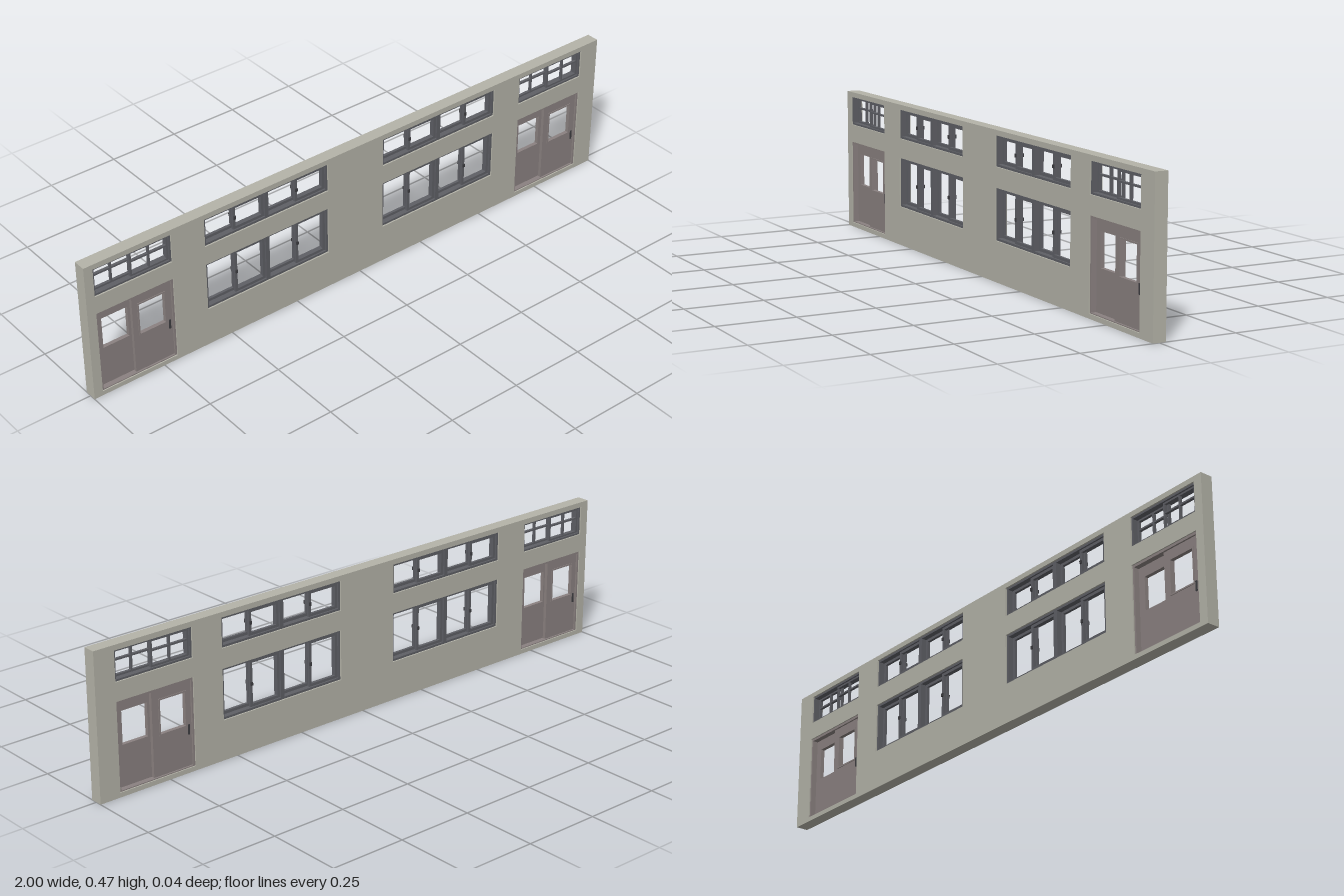
import * as THREE from 'three';

const mat = (name, color) => Object.assign(new THREE.MeshStandardMaterial({ color }), { name });

// Rectangular outline [x0, y0, x1, y1] as a shape or a hole
function rect(Type, [x0, y0, x1, y1]) {
  const p = new Type();
  p.moveTo(x0, y0);
  p.lineTo(x1, y0);
  p.lineTo(x1, y1);
  p.lineTo(x0, y1);
  p.closePath();
  return p;
}

// Flat panel with rectangular holes, centred on depth z
function panel(name, material, outer, holes, depth, z = 0) {
  const shape = rect(THREE.Shape, outer);
  holes.forEach((h) => shape.holes.push(rect(THREE.Path, h)));
  const geo = new THREE.ExtrudeGeometry(shape, { depth, bevelEnabled: false });
  geo.translate(0, 0, z - depth / 2);
  const mesh = new THREE.Mesh(geo, material);
  mesh.name = name;
  return mesh;
}

function box(name, material, w, h, d, x, y, z) {
  const mesh = new THREE.Mesh(new THREE.BoxGeometry(w, h, d), material);
  mesh.name = name;
  mesh.position.set(x, y, z);
  return mesh;
}

const inset = ([x0, y0, x1, y1], t) => [x0 + t, y0 + t, x1 - t, y1 - t];

export function createModel() {
  const model = new THREE.Group();
  model.name = 'classroomWall';
  const wallMat = mat('wall plaster', 0xb4b3a8);
  const frameMat = mat('window frame', 0x5e5f65);
  const doorMat = mat('door paint', 0x8a8180);
  const darkMat = mat('dark fittings', 0x3c3c40);

  const windowX = [[-0.585, -0.125], [0.09, 0.55]];
  const doorX = [[-0.97, -0.702], [0.657, 0.93]];
  const upperY = [0.36, 0.457], lowerY = [0.13, 0.295], doorY = [0.015, 0.3];
  const opening = ([x0, x1], [y0, y1]) => [x0, y0, x1, y1];

  // Wall with all its openings
  const holes = [];
  windowX.forEach((x) => holes.push(opening(x, upperY), opening(x, lowerY)));
  doorX.forEach((x) => holes.push(opening(x, upperY), opening(x, doorY)));
  model.add(panel('wall', wallMat, [-1, 0, 1, 0.474], holes, 0.042));

  // Two sliding pairs side by side in one opening
  function slidingWindow(r) {
    const g = new THREE.Group();
    g.name = 'slidingWindow';
    const [x0, y0, x1, y1] = r;
    const mid = (x0 + x1) / 2;
    for (const half of [[x0, y0, mid, y1], [mid, y0, x1, y1]]) {
      const inner = inset(half, 0.007);
      g.add(panel('windowFrame', frameMat, half, [inner], 0.032));
      const c = (half[0] + half[2]) / 2;
      const back = [inner[0], inner[1], c + 0.005, inner[3]];
      const front = [c - 0.005, inner[1], inner[2], inner[3]];
      g.add(panel('rearSash', frameMat, back, [inset(back, 0.009)], 0.009, -0.006));
      g.add(panel('frontSash', frameMat, front, [inset(front, 0.009)], 0.009, 0.006));
      // Latches on the meeting stiles
      for (const s of [-1, 1]) {
        g.add(box('latch', darkMat, 0.007, 0.011, 0.004, c, (y0 + y1) / 2, s * 0.0125));
      }
    }
    return g;
  }

  // Barred light above each doorway
  function transom(r) {
    const g = new THREE.Group();
    g.name = 'transom';
    const inner = inset(r, 0.006);
    g.add(panel('transomFrame', frameMat, r, [inner], 0.032));
    const [x0, y0, x1, y1] = inner;
    const c = (x0 + x1) / 2;
    const sashes = [[x0, y0, c + 0.005, y1, -0.006], [c - 0.005, y0, x1, y1, 0.006]];
    for (const [a, b, e, f, z] of sashes) {
      const [p0, q0, p1, q1] = inset([a, b, e, f], 0.006);
      const pm = (p0 + p1) / 2, qm = 0.417, t = 0.0028;
      const panes = [];
      for (const [u0, u1] of [[p0, pm - t], [pm + t, p1]]) {
        for (const [v0, v1] of [[q0, qm - t], [qm + t, q1]]) panes.push([u0, v0, u1, v1]);
      }
      g.add(panel('barredSash', frameMat, [a, b, e, f], panes, 0.009, z));
    }
    return g;
  }

  // Pair of overlapping sliding door leaves
  function slidingDoors(r) {
    const g = new THREE.Group();
    g.name = 'slidingDoors';
    const [x0, y0, x1, y1] = r;
    const c = (x0 + x1) / 2 - 0.005;
    g.add(panel('doorFrame', doorMat, r, [[x0 + 0.006, y0 + 0.003, x1 - 0.006, y1 - 0.008]], 0.034));
    const leaves = [
      { name: 'rearLeaf', a: x0 + 0.004, b: c + 0.014, w: x0 + 0.027, s: -1 },
      { name: 'frontLeaf', a: c - 0.004, b: x1 - 0.004, w: x1 - 0.12, s: 1 },
    ];
    for (const { name, a, b, w, s } of leaves) {
      const pane = [w, 0.15, w + 0.09, 0.257];
      g.add(panel(name, doorMat, [a, y0 + 0.002, b, y1 - 0.006], [pane], 0.011, s * 0.006));
      // Window bead and recessed pull on the outer edge
      g.add(panel('paneBead', doorMat, inset(pane, -0.005), [pane], 0.002, s * 0.0125));
      const hx = s > 0 ? b - 0.012 : a + 0.012;
      g.add(box('doorPull', darkMat, 0.006, 0.032, 0.003, hx, 0.135, s * 0.0125));
    }
    return g;
  }

  for (const x of windowX) {
    model.add(slidingWindow(opening(x, upperY)), slidingWindow(opening(x, lowerY)));
  }
  for (const x of doorX) {
    model.add(transom(opening(x, upperY)), slidingDoors(opening(x, doorY)));
  }
  return model;
}
